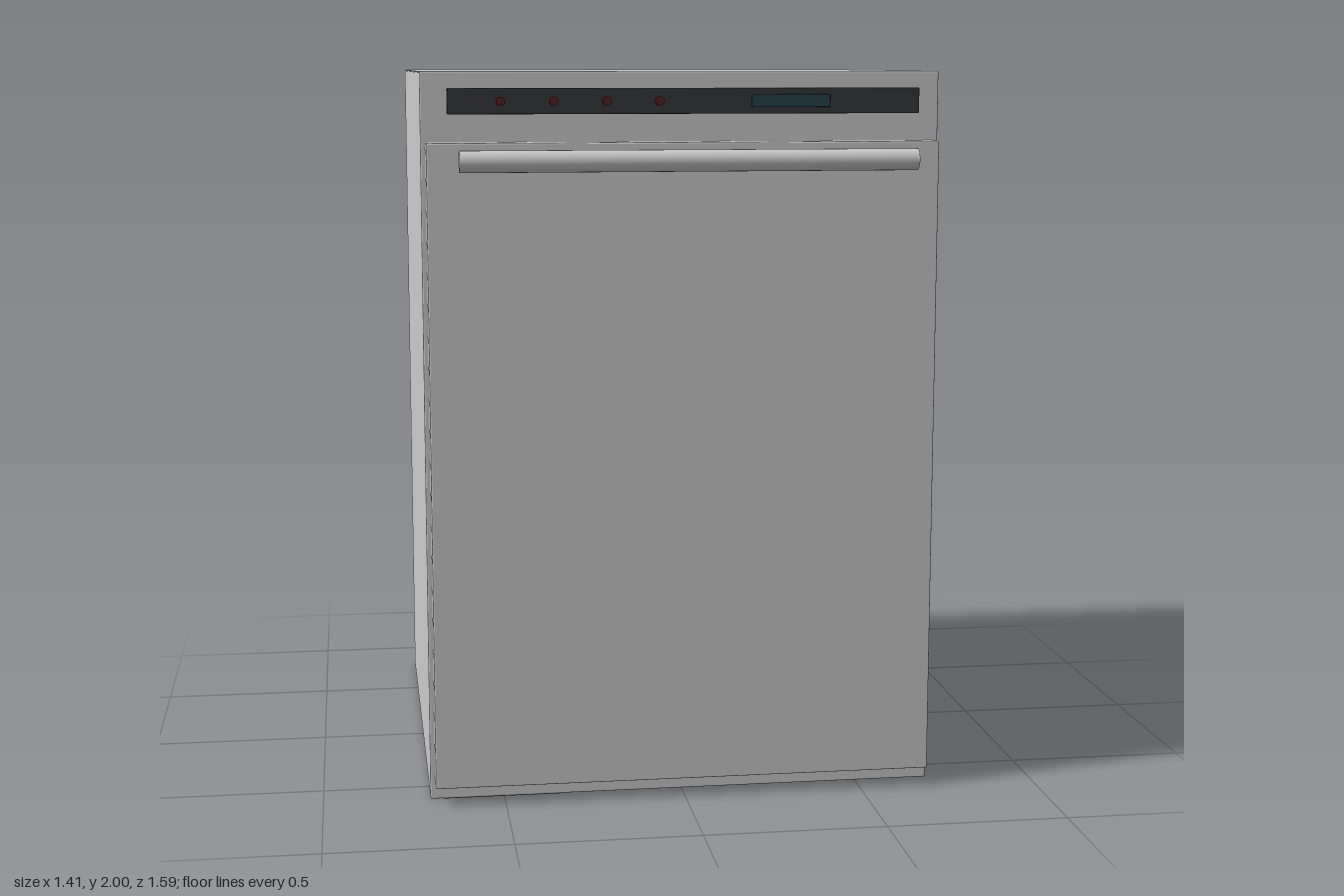
import * as THREE from 'three';
import { RoundedBoxGeometry } from 'three/addons/geometries/RoundedBoxGeometry.js';

const paint = (color) => new THREE.MeshStandardMaterial({ color });

export function createModel() {
  const model = new THREE.Group();
  const grey = paint(0xcccccc);
  const charcoal = paint(0x36383a);
  const red = paint(0x5a1c22);
  const teal = paint(0x24424a);

  const add = (name, geometry, material, x, y, z) => {
    const mesh = new THREE.Mesh(geometry, material);
    mesh.name = name;
    mesh.position.set(x, y, z);
    model.add(mesh);
    return mesh;
  };
  // Softly rounded box given by its minimum and maximum corners
  const block = (name, material, [x0, y0, z0], [x1, y1, z1], radius) =>
    add(name, new RoundedBoxGeometry(x1 - x0, y1 - y0, z1 - z0, 2, radius), material,
      (x0 + x1) / 2, (y0 + y1) / 2, (z0 + z1) / 2);

  // Cabinet and door
  block('cabinet', grey, [-0.705, 0, -0.795], [0.705, 2, 0.613], 0.004);
  block('door', grey, [-0.692, 0.05, 0.619], [0.692, 1.813, 0.682], 0.004);

  // Dark toe kick plate under the front edge
  block('toeKick', charcoal, [-0.67, -0.001, 0.49], [-0.33, 0.04, 0.611], 0.0005);

  // Control strip with display and indicator buttons
  block('controlPanel', charcoal, [-0.635, 1.888, 0.636], [0.635, 1.956, 0.679], 0.003);
  block('display', teal, [0.175, 1.905, 0.67], [0.387, 1.939, 0.692], 0.002);
  for (let i = 0; i < 4; i++) {
    const button = add('button', new THREE.CylinderGeometry(0.012, 0.012, 0.024, 16), red,
      -0.496 + i * 0.141, 1.922, 0.68);
    button.rotation.x = Math.PI / 2;
  }

  // Bar handle on two posts
  const bar = add('handleBar', new THREE.CylinderGeometry(0.029, 0.029, 1.22, 24), grey, 0, 1.768, 0.766);
  bar.rotation.z = Math.PI / 2;
  for (const side of [-1, 1]) {
    const post = add('handlePost', new THREE.CylinderGeometry(0.02, 0.02, 0.09, 16), grey,
      side * 0.543, 1.768, 0.72);
    post.rotation.x = Math.PI / 2;
  }
  return model;
}
